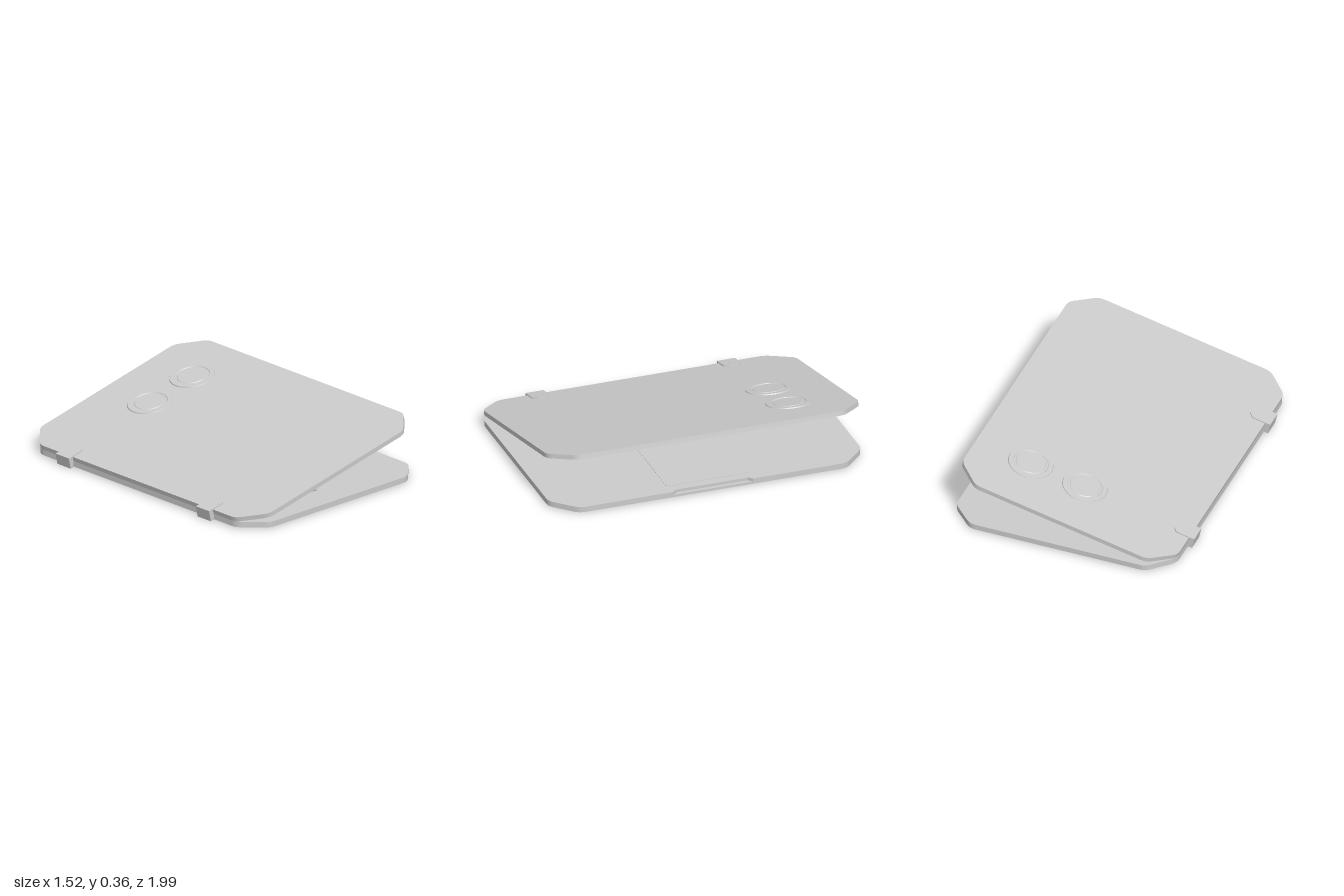
import * as THREE from 'three';

const material = new THREE.MeshStandardMaterial({ color: 0xcccccc });
const TILT = 0.216; // lid opening angle
const YAW = -0.094; // whole laptop is turned slightly
const HALF_Z = 0.95;
const LENGTH = 1.357;
const HINGE_X = -0.67;

// Closed outline through [x, z, radius] points, each corner rounded by its radius
function outline(points, Type = THREE.Shape) {
  const shape = new Type();
  const n = points.length;
  points.forEach(([x, z, r = 0], i) => {
    const p = new THREE.Vector2(x, z);
    const prev = new THREE.Vector2(...points[(i + n - 1) % n].slice(0, 2));
    const next = new THREE.Vector2(...points[(i + 1) % n].slice(0, 2));
    const a = p.clone().add(prev.sub(p).setLength(r));
    const b = p.clone().add(next.sub(p).setLength(r));
    if (i === 0) shape.moveTo(a.x, a.y);
    else shape.lineTo(a.x, a.y);
    if (r > 0) shape.quadraticCurveTo(p.x, p.y, b.x, b.y);
  });
  shape.closePath();
  return shape;
}

// Rectangle with cut corners, x from 0 to LENGTH, inset by d; optional finger notch at the free edge
function panelPoints(d = 0, notch = false) {
  const c = 0.14 - d * 0.4, r = 0.035, x0 = d, x1 = LENGTH - d, z = HALF_Z - d;
  const gap = notch ? [[x1, -0.24], [x1 - 0.022, -0.22], [x1 - 0.022, 0.22], [x1, 0.24]] : [];
  return [
    [x0 + c, -z, r], [x1 - c, -z, r], [x1, -z + c, r], ...gap,
    [x1, z - c, r], [x1 - c, z, r], [x0 + c, z, r], [x0, z - c, r], [x0, -z + c, r],
  ];
}

const rect = (x0, x1, z0, z1, r = 0) => [[x0, z0, r], [x1, z0, r], [x1, z1, r], [x0, z1, r]];

// Flat horizontal plate between heights y0 and y1
function plate(name, points, y0, y1, holes = []) {
  const shape = outline(points);
  shape.holes = holes.map((h) => outline(h, THREE.Path));
  const geometry = new THREE.ExtrudeGeometry(shape, { depth: y1 - y0, bevelEnabled: false, curveSegments: 4 });
  geometry.rotateX(-Math.PI / 2).translate(0, y0, 0);
  const mesh = new THREE.Mesh(geometry, material);
  mesh.name = name;
  return mesh;
}

function buildKeyboard() {
  const keys = new THREE.Group();
  keys.name = 'keyboard';
  const rows = 6, cols = 14, x0 = 0.075, px = 0.61 / rows, pz = 1.5 / cols, gap = 0.008;
  for (let i = 0; i < rows; i++) {
    for (let j = 0; j < cols; j++) {
      const spaceBar = i === rows - 1 && j === 4;
      const span = spaceBar ? 6 : 1;
      const x = x0 + i * px, z = -0.75 + j * pz;
      keys.add(plate(spaceBar ? 'spaceBar' : 'key',
        rect(x + gap, x + px - gap, z + gap, z + span * pz - gap, 0.008), 0.022, 0.039));
      j += span - 1;
    }
  }
  return keys;
}

function buildBase() {
  const base = new THREE.Group();
  base.name = 'base';
  const keyWell = rect(0.07, 0.69, -0.76, 0.76, 0.01);
  base.add(
    plate('bottomRim', panelPoints(), 0.007, 0.014, [panelPoints(0.012)]),
    plate('lowerShell', panelPoints(), 0.014, 0.022),
    plate('upperShell', panelPoints(0, true), 0.022, 0.04, [keyWell]),
    plate('bottomCover', keyWell, 0.0125, 0.014),
    plate('touchpadFrame', rect(0.725, 1.285, -0.26, 0.26), 0.007, 0.014, [rect(0.735, 1.275, -0.25, 0.25)]),
    plate('touchpad', rect(0.73, 1.28, -0.255, 0.255, 0.01), 0.04, 0.042),
    buildKeyboard(),
  );
  base.position.x = HINGE_X;
  return base;
}

// Round raised ring with a stepped inner disc, on the outside of the lid
function buildRoundPort(x, z) {
  const profile = [[0.132, 0], [0.129, 0.006], [0.103, 0.006], [0.1, 0.002], [0.088, 0.002], [0.085, 0.005], [0, 0.005]];
  const smooth = new THREE.LatheGeometry(profile.map(([r, y]) => new THREE.Vector2(r, y)), 48);
  const geometry = smooth.toNonIndexed();
  geometry.computeVertexNormals();
  const port = new THREE.Mesh(geometry, material);
  port.name = 'roundPort';
  port.position.set(x, 0.027, z);
  return port;
}

// Clip that lies on the lid and wraps down behind the hinge edge
function buildHinge(z) {
  const hinge = new THREE.Group();
  hinge.name = 'hinge';
  const w = 0.055;
  hinge.add(
    plate('hingeTab', [[-0.032, -w], [0.08, -w, 0.012], [0.105, -w + 0.03, 0.012],
      [0.105, w - 0.03, 0.012], [0.08, w, 0.012], [-0.032, w]], 0.027, 0.033),
    plate('hingeBlock', rect(-0.032, -0.002, -w, w), -0.034, 0.027),
  );
  hinge.position.z = z;
  return hinge;
}

function buildLid() {
  const lid = new THREE.Group();
  lid.name = 'lid';
  lid.add(
    plate('lidRim', panelPoints(), 0, 0.012, [panelPoints(0.01)]),
    plate('screenBezel', panelPoints(0.01), 0.008, 0.012, [panelPoints(0.04)]),
    plate('lidShell', panelPoints(), 0.012, 0.027),
    buildRoundPort(0.675, -0.592),
    buildRoundPort(1.015, -0.592),
    buildHinge(-0.587),
    buildHinge(0.574),
  );
  lid.position.set(HINGE_X, 0.04, 0);
  lid.rotation.z = TILT;
  return lid;
}

export function createModel() {
  const model = new THREE.Group();
  model.name = 'laptop';
  model.add(buildBase(), buildLid());
  model.rotation.y = YAW;
  return model;
}
